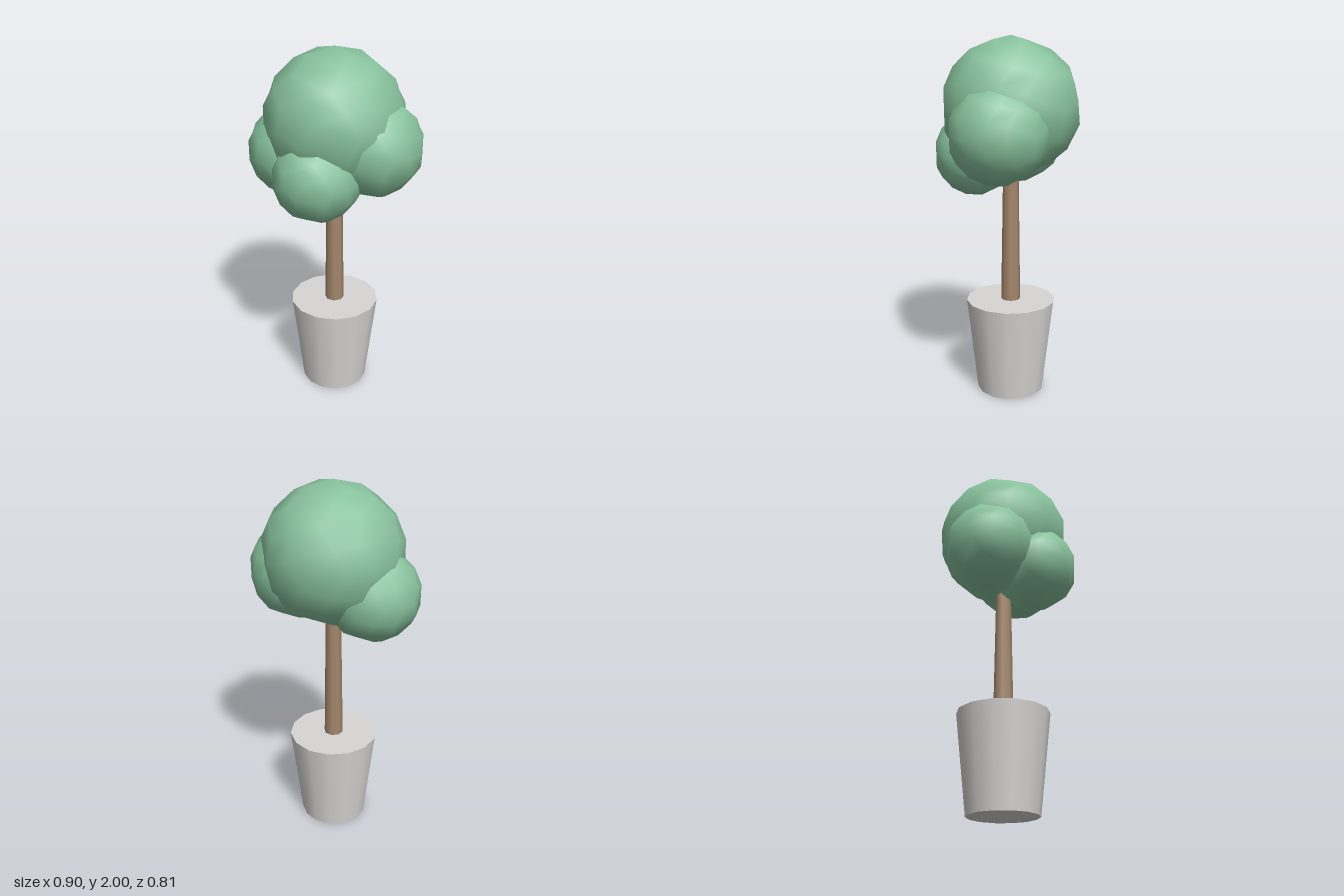
import * as THREE from 'three';

function material(name, color) {
  const m = new THREE.MeshStandardMaterial({ color });
  m.name = name;
  return m;
}

export function createModel() {
  const group = new THREE.Group();
  group.name = 'pottedTree';
  const leafGreen = material('leafGreen', 0x88c29d);
  const barkBrown = material('barkBrown', 0xa5876c);
  const potGrey = material('potGrey', 0xd8d6d4);

  // Shared axis of the pot, trunk and main crown
  const axisX = -0.01, axisZ = -0.022;

  function add(name, geometry, mat, x, y, z) {
    const mesh = new THREE.Mesh(geometry, mat);
    mesh.name = name;
    mesh.position.set(x, y, z);
    group.add(mesh);
  }

  // Tapered pot, closed at the top by its soil level
  add('pot', new THREE.CylinderGeometry(0.252, 0.191, 0.54, 14), potGrey, axisX, 0.27, axisZ);

  // Slim trunk running up into the crown
  add('trunk', new THREE.CylinderGeometry(0.041, 0.055, 0.9, 8), barkBrown, axisX, 0.95, axisZ);

  // Faceted-outline foliage balls with smooth shading: name, radius, centre
  const foliage = [
    ['mainCrown', 0.38, axisX, 1.62, axisZ],
    ['leftFoliage', 0.27, 0.18, 1.5, -0.12],
    ['rightFoliage', 0.253, -0.2, 1.435, 0.1],
    ['frontFoliage', 0.236, 0.07, 1.367, 0.167],
  ];
  for (const [name, radius, x, y, z] of foliage) {
    add(name, new THREE.DodecahedronGeometry(radius, 1), leafGreen, x, y, z);
  }
  return group;
}
